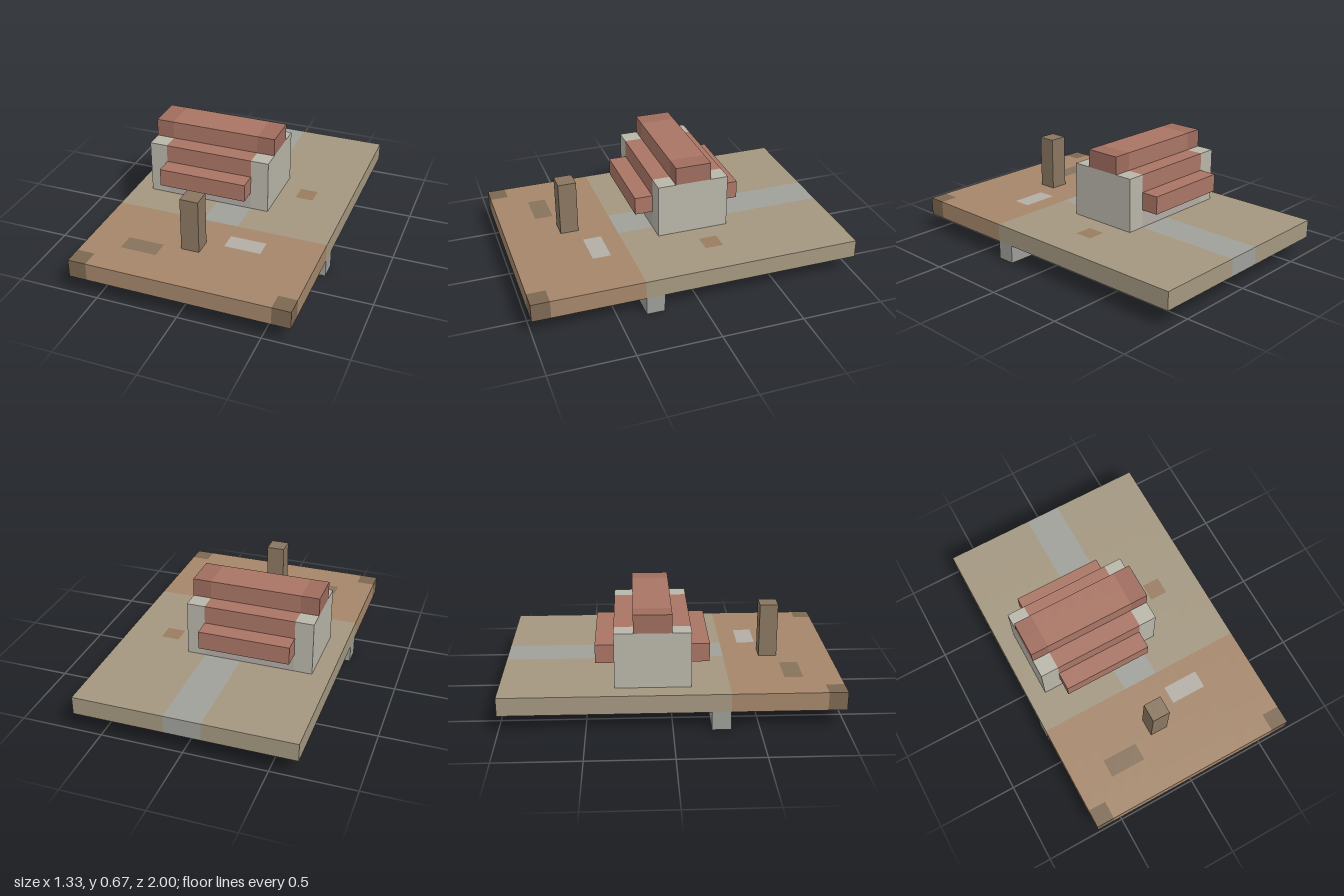
import * as THREE from 'three';
import { mergeGeometries } from 'three/addons/utils/BufferGeometryUtils.js';

const U = 1 / 9; // size of one block

// Each part: name, colour, then block ranges [x0, x1, y0, y1, z0, z1]; later parts overwrite earlier ones.
const PARTS = [
  ['crossBeam', 0x9c9c98, [-6, 6, 0, 1, 2, 3]],
  ['grassGround', 0xa39780, [-6, 6, 1, 2, -9, 3]],
  ['earthGround', 0xa4866a, [-6, 6, 1, 2, 3, 9]],
  ['stonePath', 0xa0a09b, [-1, 1, 1, 2, -9, 3]],
  ['cornerBlocks', 0x7c6851, [-6, -5, 1, 2, 8, 9], [5, 6, 1, 2, 8, 9]],
  ['brownPatch', 0x9a7c60, [3, 4, 1, 2, -2, -1]],
  ['palePatch', 0xb2aea5, [1, 3, 1, 2, 4, 5]],
  ['darkPatch', 0x87725b, [-4, -2, 1, 2, 6, 7]],
  ['post', 0x8a7660, [-1, 0, 2, 5, 5, 6]],
  ['houseWalls', 0xb9b6a9, [-5, 2, 2, 5, -3, 1]],
  ['houseLowerWall', 0xb3aca6, [-4, 1, 2, 3, -3, 1]],
  ['roof', 0xa97565, [-4, 1, 3, 5, -3, 1], [-4, 1, 5, 6, -2, 0]],
  ['eaves', 0xa97565, [-4, 1, 3, 4, 1, 2], [-4, 1, 3, 4, -4, -3]],
  ['ridgeEnds', 0x9f6c5e, [-5, -4, 5, 6, -2, 0], [1, 2, 5, 6, -2, 0]],
];

// Outward directions with the rotation that turns a +z plane to face them; undersides stay open.
const SIDES = [
  [0, 0, 1, 0, 0],
  [0, 0, -1, 0, Math.PI],
  [1, 0, 0, 0, Math.PI / 2],
  [-1, 0, 0, 0, -Math.PI / 2],
  [0, 1, 0, -Math.PI / 2, 0],
];

const key = (x, y, z) => `${x},${y},${z}`;

export function createModel() {
  const model = new THREE.Group();
  model.name = 'cottageOnPlot';

  // Fill the block grid
  const blocks = new Map();
  PARTS.forEach(([, , ...ranges], part) => {
    for (const [x0, x1, y0, y1, z0, z1] of ranges)
      for (let x = x0; x < x1; x++)
        for (let y = y0; y < y1; y++)
          for (let z = z0; z < z1; z++) blocks.set(key(x, y, z), { x, y, z, part });
  });

  // Keep only faces with no neighbouring block, so the result is a hollow shell
  const faces = PARTS.map(() => []);
  for (const { x, y, z, part } of blocks.values())
    for (const [dx, dy, dz, rx, ry] of SIDES) {
      if (blocks.has(key(x + dx, y + dy, z + dz))) continue;
      const face = new THREE.PlaneGeometry(U, U).rotateX(rx).rotateY(ry);
      face.translate((x + 0.5 + dx / 2) * U, (y + 0.5 + dy / 2) * U, (z + 0.5 + dz / 2) * U);
      faces[part].push(face);
    }

  // One mesh per part
  PARTS.forEach(([name, color], part) => {
    if (!faces[part].length) return;
    const material = new THREE.MeshStandardMaterial({ color, side: THREE.DoubleSide });
    const mesh = new THREE.Mesh(mergeGeometries(faces[part]), material);
    mesh.name = name;
    model.add(mesh);
  });
  return model;
}
